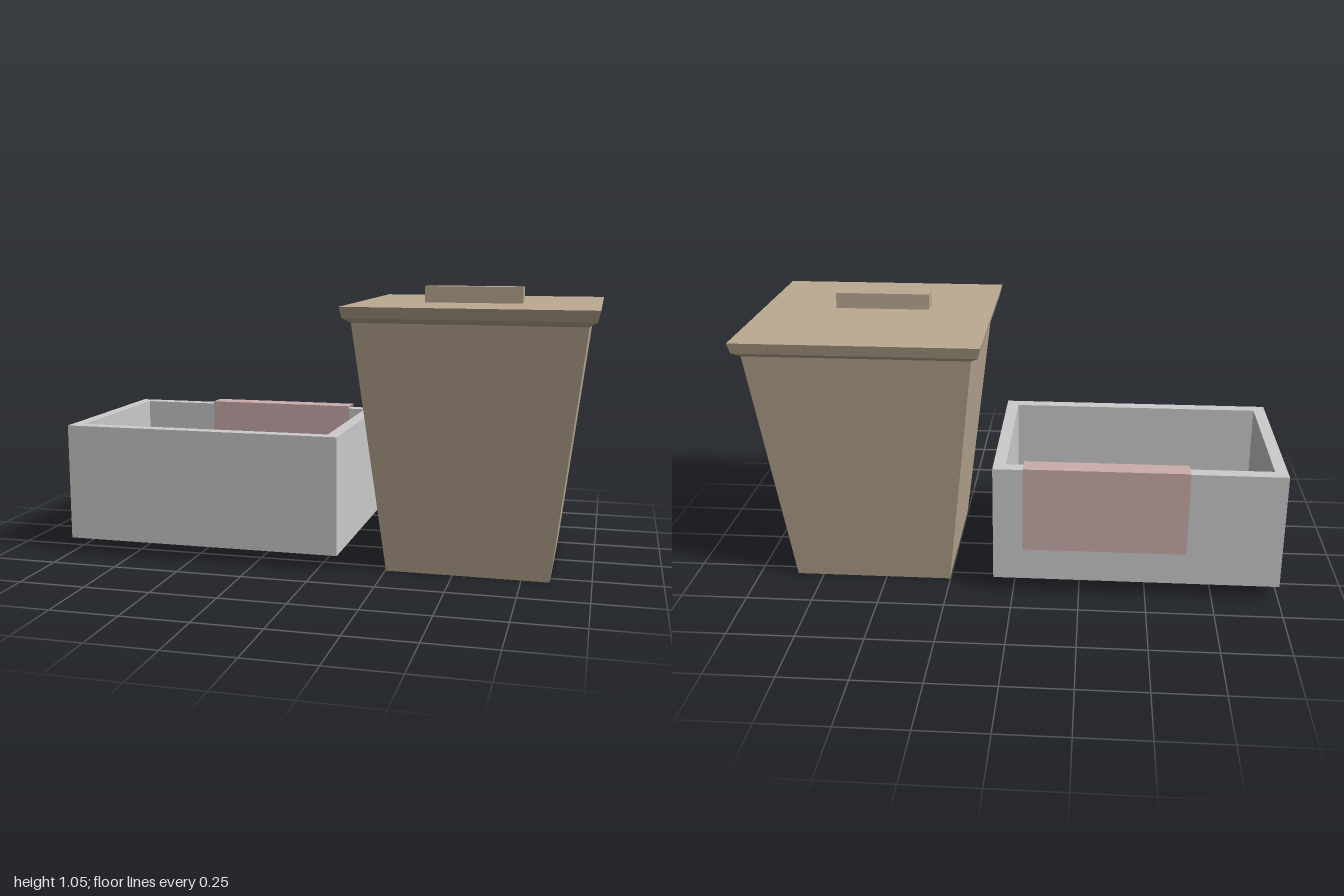
import * as THREE from 'three';

const material = (name, color) => {
  const m = new THREE.MeshStandardMaterial({ color, side: THREE.DoubleSide });
  m.name = name;
  return m;
};

// Lofts a rectangular ring through [halfX, halfZ, y] sections, with flat faces
function rectLoft(sections) {
  const signs = [[1, 1], [1, -1], [-1, -1], [-1, 1]];
  const points = [];
  const corner = ([hx, hz, y], k) => [hx * signs[k % 4][0], y, hz * signs[k % 4][1]];
  for (let i = 0; i < sections.length - 1; i++) {
    for (let k = 0; k < 4; k++) {
      const a = corner(sections[i], k), b = corner(sections[i], k + 1);
      const c = corner(sections[i + 1], k + 1), d = corner(sections[i + 1], k);
      points.push(...a, ...b, ...c);
      if (sections[i + 1][0] > 0) points.push(...a, ...c, ...d);
    }
  }
  const g = new THREE.BufferGeometry();
  g.setAttribute('position', new THREE.Float32BufferAttribute(points, 3));
  g.computeVertexNormals();
  return g;
}

export function createModel() {
  const model = new THREE.Group();
  const tan = material('tan', 0xbcaa92);
  const grey = material('grey', 0xcccccc);
  const pink = material('pink', 0xccadad);
  const blue = material('paleBlue', 0xaac1c9);

  const add = (parent, name, geometry, mat, x = 0, y = 0, z = 0) => {
    const mesh = new THREE.Mesh(geometry, mat);
    mesh.name = name;
    mesh.position.set(x, y, z);
    parent.add(mesh);
    return mesh;
  };
  // Horizontal sheet facing up
  const sheet = (w, d) => new THREE.PlaneGeometry(w, d).rotateX(-Math.PI / 2);

  // Tapered bin, open underneath, with a flared lid and a bar handle
  const bin = new THREE.Group();
  bin.name = 'bin';
  bin.position.x = 0.552;
  model.add(bin);
  add(bin, 'binBody', rectLoft([[0.3, 0.3, 0], [0.41, 0.41, 0.928]]), tan);
  add(bin, 'binLid', rectLoft([
    [0.41, 0.41, 0.928], [0.437, 0.437, 0.946], [0.446, 0.446, 0.986], [0, 0, 0.986],
  ]), tan);
  add(bin, 'lidHandle', new THREE.BoxGeometry(0.362, 0.06, 0.069), tan, -0.017, 1.016, 0.073);

  // Open tray with thick walls and a raised floor
  const tray = new THREE.Group();
  tray.name = 'tray';
  tray.position.set(-0.4625, 0, -0.0145);
  model.add(tray);
  add(tray, 'trayWalls', rectLoft([
    [0.5375, 0.3625, 0.057], [0.5375, 0.3625, 0.505], [0.491, 0.313, 0.505], [0.491, 0.313, 0.134],
  ]), grey);
  add(tray, 'trayFloor', sheet(1.075, 0.725), grey, 0, 0.134, 0);

  // Sheet lying on the tray floor, turned very slightly
  const liner = add(tray, 'floorSheet', sheet(0.75, 0.439), blue, -0.002, 0.142, 0.087);
  liner.rotation.y = 0.01;

  // Strip folded over the back wall
  const flap = new THREE.Group();
  flap.name = 'foldedStrip';
  flap.position.set(-0.342, 0, 0);
  model.add(flap);
  add(flap, 'stripTop', sheet(0.608, 0.077), pink, 0, 0.516, -0.3585);
  add(flap, 'stripInside', new THREE.PlaneGeometry(0.608, 0.326), pink, 0, 0.353, -0.32);
  add(flap, 'stripOutside', new THREE.PlaneGeometry(0.608, 0.326).rotateY(Math.PI), pink, 0, 0.353, -0.397);

  return model;
}
